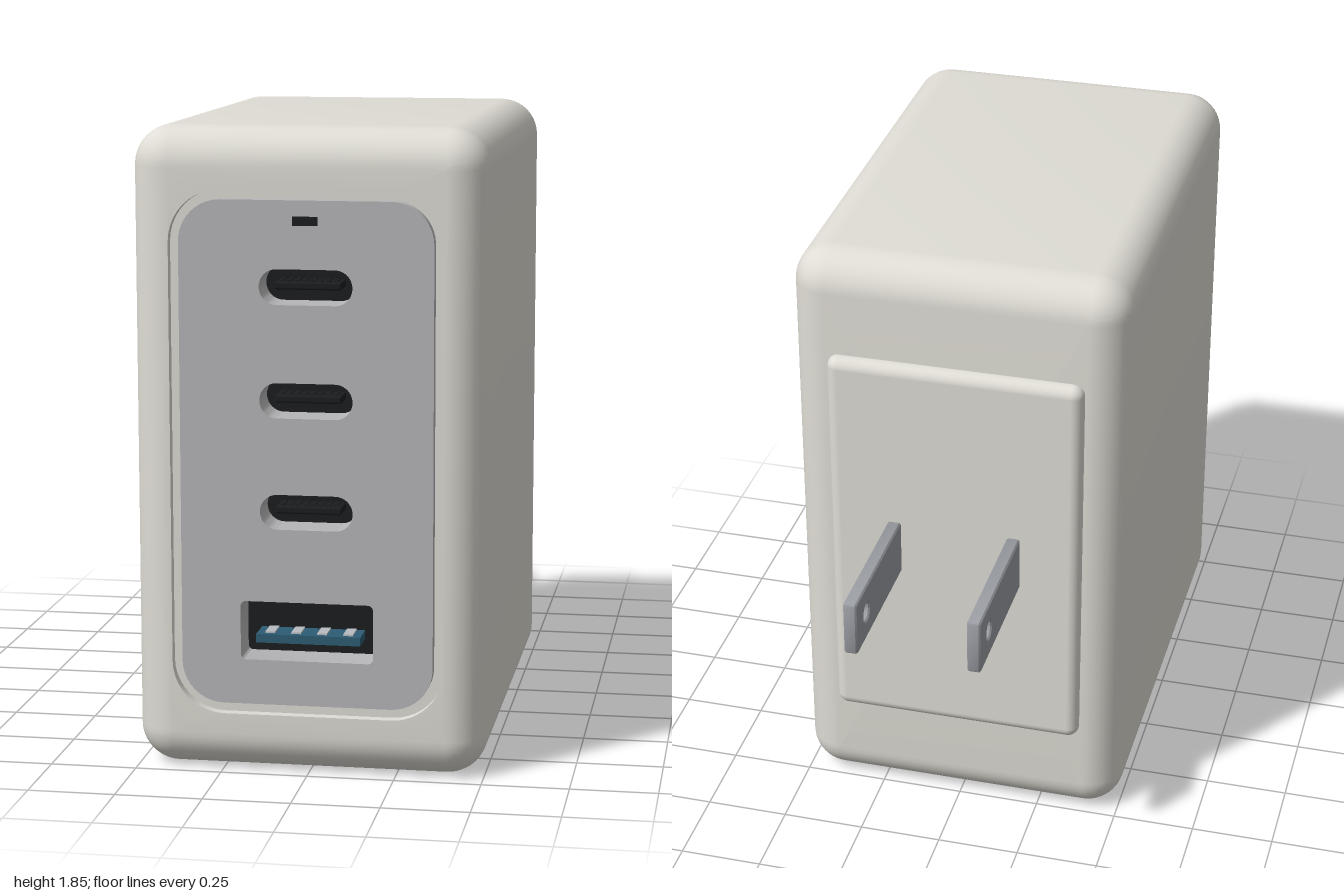
import * as THREE from 'three';
import { toCreasedNormals } from 'three/addons/utils/BufferGeometryUtils.js';
import { RoundedBoxGeometry } from 'three/addons/geometries/RoundedBoxGeometry.js';

const CY = 0.9225; // mid height of the body
const mat = (color) => new THREE.MeshStandardMaterial({ color });
const shellMat = mat(0xdedcd4), panelMat = mat(0xb6b6b8), darkMat = mat(0x1b1d1f);
const metalMat = mat(0x9a9da3), blueMat = mat(0x2c5d74), contactMat = mat(0xb8bcc0);

function add(parent, name, geometry, material, x = 0, y = 0, z = 0) {
  const m = new THREE.Mesh(geometry, material);
  m.name = name;
  m.position.set(x, y, z);
  parent.add(m);
  return m;
}

// Counter-clockwise outline of a rounded rectangle given by half sizes
function outline(hw, hh, r, cx = 0, cy = 0, n = 10) {
  const pts = [];
  [[1, 1], [-1, 1], [-1, -1], [1, -1]].forEach(([sx, sy], q) => {
    for (let i = 0; i <= n; i++) {
      const a = (q + i / n) * Math.PI / 2;
      pts.push(new THREE.Vector2(
        cx + sx * (hw - r) + r * Math.cos(a), cy + sy * (hh - r) + r * Math.sin(a)));
    }
  });
  return pts;
}

// Skin through rounded-rectangle rings [halfWidth, halfHeight, radius, z], back to front
function loft(rings) {
  const pos = [], index = [];
  let n = 0;
  for (const [hw, hh, r, z] of rings) {
    const pts = outline(hw, hh, r);
    n = pts.length;
    for (const p of pts) pos.push(p.x, p.y, z);
  }
  for (let k = 0; k < rings.length - 1; k++) {
    for (let i = 0; i < n; i++) {
      const a = k * n + i, b = k * n + (i + 1) % n;
      index.push(a, b, b + n, a, b + n, a + n);
    }
  }
  const g = new THREE.BufferGeometry();
  g.setAttribute('position', new THREE.Float32BufferAttribute(pos, 3));
  g.setIndex(index);
  return toCreasedNormals(g, 0.6);
}

function shellGeometry() {
  const W = 0.505, H = CY, R = 0.114, back = -0.51, front = 0.99, n = 10;
  const rings = [[0.001, 0.001, 0.0005, back]];
  const edge = (a, z) => {
    const inset = R * (1 - Math.cos(a));
    rings.push([W - inset, H - inset, Math.max(R - inset, 0.001), z]);
  };
  for (let i = n; i >= 0; i--) {
    const a = i / n * Math.PI / 2;
    edge(a, back + R * (1 - Math.sin(a)));
  }
  for (let i = 0; i <= n; i++) {
    const a = i / n * Math.PI / 2;
    edge(a, front - R * (1 - Math.sin(a)));
  }
  // groove around the front panel
  rings.push([0.39, 0.75, 0.15, front], [0.39, 0.75, 0.15, front - 0.03],
    [0.34, 0.70, 0.10, front - 0.03]);
  return loft(rings);
}

export function createModel() {
  const model = new THREE.Group();
  model.name = 'wallCharger';

  add(model, 'shell', shellGeometry(), shellMat, 0, CY, 0);

  // Front panel with port openings
  const portYs = [1.403, 1.083, 0.765], usbY = 0.42;
  const panelBack = 0.87, panelFront = 0.993;
  const panel = new THREE.Shape(outline(0.36, 0.72, 0.12, 0, 0.925));
  for (const y of portYs) panel.holes.push(new THREE.Path(outline(0.132, 0.05, 0.0495, 0, y)));
  panel.holes.push(new THREE.Path(outline(0.19, 0.085, 0.015, 0, usbY)));
  add(model, 'frontPanel', toCreasedNormals(new THREE.ExtrudeGeometry(panel,
    { depth: panelFront - panelBack, bevelEnabled: false }), 0.6), panelMat, 0, 0, panelBack);

  // Small ports: dark floor, tongue and rows of contacts
  for (const y of portYs) {
    const port = new THREE.Group();
    port.name = 'smallPort';
    port.position.set(0, y, panelBack);
    model.add(port);
    add(port, 'portFloor', new THREE.BoxGeometry(0.28, 0.12, 0.02), darkMat);
    add(port, 'tongue', new RoundedBoxGeometry(0.19, 0.022, 0.09, 2, 0.006), darkMat, 0, 0, 0.045);
    for (let i = 0; i < 8; i++) {
      add(port, 'contact', new THREE.BoxGeometry(0.01, 0.028, 0.06), darkMat,
        (i - 3.5) * 0.022, 0, 0.045);
    }
  }

  // Large port: dark floor, coloured tongue and four contacts
  const usb = new THREE.Group();
  usb.name = 'largePort';
  usb.position.set(0, usbY, panelBack);
  model.add(usb);
  add(usb, 'portFloor', new THREE.BoxGeometry(0.4, 0.19, 0.02), darkMat);
  add(usb, 'tongue', new THREE.BoxGeometry(0.3, 0.025, 0.1), blueMat, 0, -0.028, 0.05);
  for (let i = 0; i < 4; i++) {
    add(usb, 'contact', new THREE.BoxGeometry(0.028, 0.006, 0.07), contactMat,
      (i - 1.5) * 0.075, -0.014, 0.05);
  }

  // Indicator light
  add(model, 'indicator', new THREE.BoxGeometry(0.07, 0.025, 0.02), darkMat, 0, 1.588, 0.99);

  // Raised back plate
  add(model, 'backPlate', new RoundedBoxGeometry(0.77, 1.235, 0.09, 5, 0.035), shellMat,
    0, 0.922, -0.5);

  // Plug blades with a round hole near the tip
  const blade = new THREE.Shape(outline(0.23, 0.08, 0.004, 0.765, 0.925, 2));
  blade.holes.push(new THREE.Path().absarc(0.9, 0.925, 0.034, 0, Math.PI * 2, true));
  const bladeGeo = new THREE.ExtrudeGeometry(blade, {
    depth: 0.03, bevelSize: 0.005, bevelThickness: 0.005, bevelSegments: 1, curveSegments: 24,
  });
  bladeGeo.translate(0, 0, -0.015).rotateY(Math.PI / 2);
  const bladeSmooth = toCreasedNormals(bladeGeo, 0.5);
  for (const side of [-1, 1]) {
    add(model, side > 0 ? 'leftBlade' : 'rightBlade', bladeSmooth, metalMat, side * 0.183, 0, 0);
  }

  return model;
}
